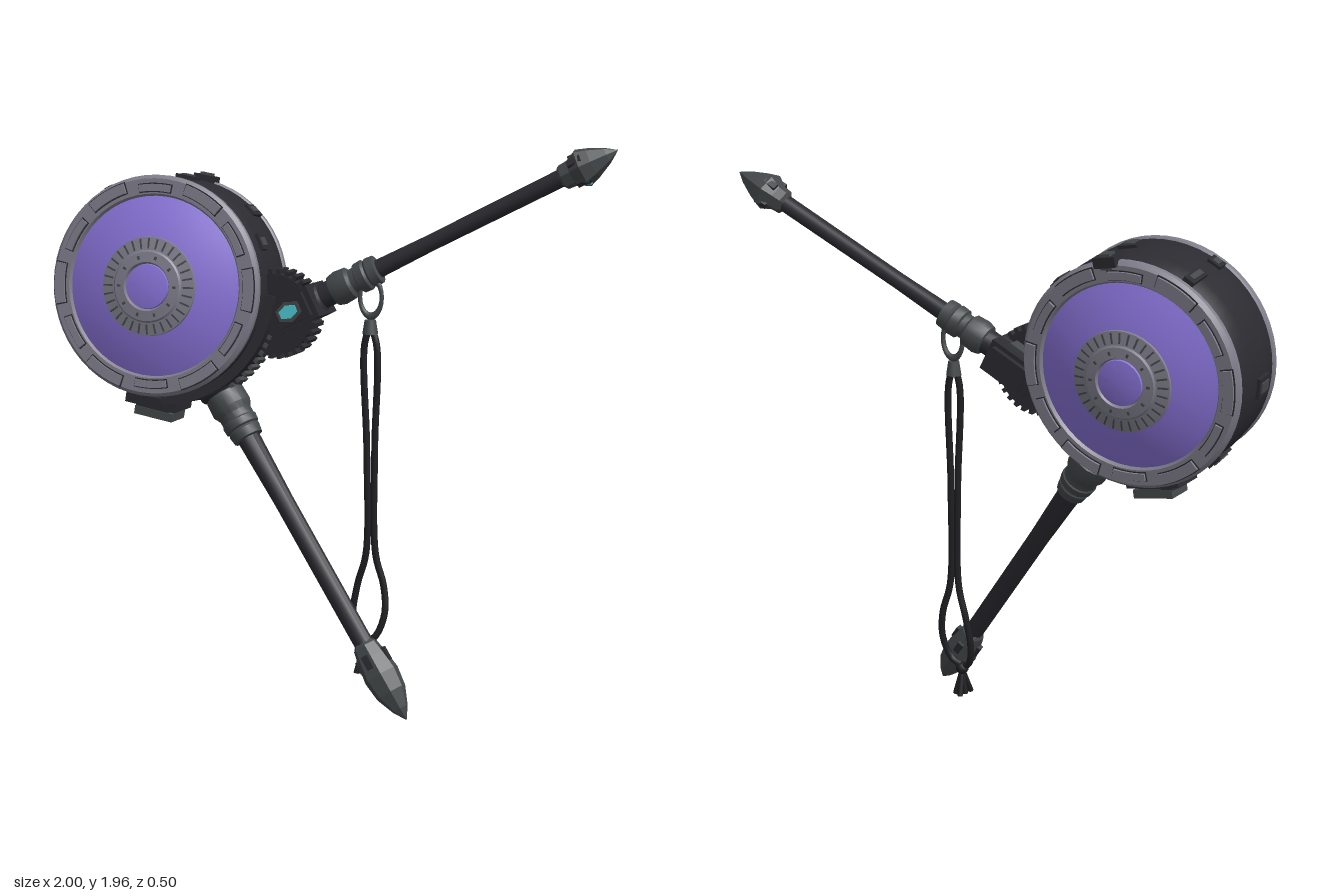
import * as THREE from 'three';
import { toCreasedNormals, mergeGeometries } from 'three/addons/utils/BufferGeometryUtils.js';

const mat = (name, color) => Object.assign(new THREE.MeshStandardMaterial({ color }), { name });
const V = (x, y, z) => new THREE.Vector3(x, y, z);
const Y = V(0, 1, 0), Z = V(0, 0, 1);

export function createModel() {
  const model = new THREE.Group();
  const dark = mat('dark metal', 0x2c2b31), black = mat('black cord', 0x1f1e22);
  const gun = mat('gunmetal', 0x45494b), grey = mat('rim grey', 0x7f7e8b);
  const purple = mat('purple skin', 0x8a74da), cyan = mat('cyan glow', 0x4fcfd8);

  const add = (parent, name, geo, material, x = 0, y = 0, z = 0) => {
    const m = new THREE.Mesh(geo, material);
    m.name = name;
    m.position.set(x, y, z);
    parent.add(m);
    return m;
  };
  const lathe = (pts, sides = 24, crease = 0.6) => {
    const g = new THREE.LatheGeometry(pts.map(p => new THREE.Vector2(...p)), sides);
    return toCreasedNormals(g, crease);
  };
  // Lathe whose axis is +z
  const latheZ = (pts, sides, crease) => lathe(pts, sides, crease).rotateX(Math.PI / 2);
  // Flat arc-shaped plate lying in the xy plane
  const arc = (r0, r1, a0, a1, depth) => {
    const s = new THREE.Shape();
    s.absarc(0, 0, r1, a0, a1, false);
    s.absarc(0, 0, r0, a1, a0, true);
    return new THREE.ExtrudeGeometry(s, { depth, bevelEnabled: false, curveSegments: 10 });
  };

  // ---- Drum, built along z and then tilted ----
  const drum = new THREE.Group();
  drum.name = 'drum';
  drum.position.set(-0.607, 1.456, -0.01);
  drum.quaternion.setFromUnitVectors(Z, V(0.05, 0.09, 1).normalize());
  model.add(drum);

  add(drum, 'barrel', latheZ([[0.375, -0.15], [0.387, -0.13], [0.392, -0.05],
    [0.392, 0.05], [0.387, 0.13], [0.375, 0.15]], 56), dark);

  const domeZ = r => 0.15 + 0.072 * (1 - (r / 0.33) ** 2);
  for (const side of [0, 1]) {
    const head = new THREE.Group();
    head.name = side ? 'backHead' : 'frontHead';
    head.rotation.y = side * Math.PI;
    drum.add(head);
    const dome = [];
    for (let i = 8; i >= 0; i--) dome.push([0.33 * i / 8, domeZ(0.33 * i / 8)]);
    add(head, 'drumSkin', latheZ(dome, 48), purple);
    add(head, 'rim', latheZ([[0.385, 0.128], [0.393, 0.135], [0.393, 0.152], [0.38, 0.166],
      [0.326, 0.166], [0.316, 0.15]], 56, 0.4), grey);
    // Raised rim plates with dark seams around them
    for (let i = 0; i < 12; i++) {
      const a = (i / 12) * Math.PI * 2, w = i % 2 ? 0.17 : 0.2;
      const [r0, r1] = i % 2 ? [0.335, 0.36] : [0.342, 0.378];
      add(head, 'rimSeam', arc(r0 - 0.004, r1 + 0.004, a - w - 0.012, a + w + 0.012, 0.004), dark, 0, 0, 0.164);
      add(head, 'rimPlate', arc(r0, r1, a - w, a + w, 0.012), grey, 0, 0, 0.164);
    }
    // Centre medallion
    add(head, 'medallion', latheZ([[0.176, domeZ(0.176) - 0.01], [0.174, domeZ(0.17) + 0.008],
      [0.128, domeZ(0.125) + 0.008], [0.122, domeZ(0.12) + 0.013], [0.086, domeZ(0.08) + 0.012],
      [0.08, domeZ(0.08)]], 40, 0.4), grey);
    add(head, 'medallionCentre', latheZ([[0.08, domeZ(0.08)], [0.078, 0.226], [0.05, 0.231], [0, 0.233]], 32), purple);
    for (let i = 0; i < 32; i++) {
      const a = (i / 32) * Math.PI * 2;
      const slot = new THREE.BoxGeometry(0.036, 0.006, 0.006).rotateY(0.13)
        .translate(0.151, 0, domeZ(0.151) + 0.008).rotateZ(a);
      add(head, 'medallionSlot', slot, gun);
    }
    for (let i = 0; i < 10; i++) {
      const a = (i / 10) * Math.PI * 2;
      add(head, 'medallionStud', new THREE.BoxGeometry(0.012, 0.008, 0.006).rotateZ(a), gun,
        0.104 * Math.cos(a), 0.104 * Math.sin(a), domeZ(0.1) + 0.013);
    }
  }

  // Clasps around the barrel: angle in degrees, z, width, depth, height
  const clasps = [[80, -0.15, 0.08, 0.06, 0.035], [80, 0.03, 0.07, 0.07, 0.02], [121, -0.07, 0.04, 0.11, 0.02],
    [121, 0.1, 0.05, 0.05, 0.015], [25, 0.04, 0.06, 0.06, 0.018], [45, -0.08, 0.05, 0.08, 0.015],
    [186, 0.03, 0.07, 0.08, 0.02], [225, -0.06, 0.06, 0.09, 0.018]];
  for (const [deg, z, w, d, h] of clasps) {
    const c = new THREE.Group();
    c.name = 'clasp';
    c.rotation.z = deg * Math.PI / 180;
    drum.add(c);
    add(c, 'claspBase', new THREE.BoxGeometry(h, w, d), dark, 0.392, 0, z);
    add(c, 'claspBar', new THREE.BoxGeometry(h * 1.5, w * 0.5, d * 0.7), gun, 0.392, 0, z);
  }

  // Curved bracket hugging the lower right of the barrel
  add(drum, 'bracketBand', arc(0.38, 0.425, -1.55, -0.05, 0.15), dark, 0, 0, -0.06);
  for (let i = 0; i < 9; i++) {
    const a = -0.4 - i * 0.075;
    add(drum, 'bracketRib', new THREE.BoxGeometry(0.03, 0.016, 0.08).rotateZ(a), gun,
      0.425 * Math.cos(a), 0.425 * Math.sin(a), 0.01);
  }

  // Foot block under the drum
  const foot = new THREE.Group();
  foot.name = 'foot';
  foot.position.set(-0.645, 1.03, 0.03);
  foot.rotation.z = -0.17;
  model.add(foot);
  add(foot, 'footNeck', new THREE.BoxGeometry(0.13, 0.08, 0.1), dark, 0, 0.02, 0);
  add(foot, 'footPlate', new THREE.BoxGeometry(0.2, 0.04, 0.14), dark, 0, 0.015, 0);
  add(foot, 'footPad', new THREE.BoxGeometry(0.15, 0.03, 0.11), gun, 0.01, -0.03, 0);

  // ---- Toothed wheel joining the arms ----
  const wheel = [new THREE.CylinderGeometry(0.143, 0.143, 0.09, 32).rotateX(Math.PI / 2)];
  for (let i = 0; i < 30; i++) {
    wheel.push(new THREE.BoxGeometry(0.03, 0.015, 0.08).translate(0.145, 0, 0).rotateZ(i * Math.PI / 15));
  }
  add(model, 'toothedWheel', mergeGeometries(wheel), dark, -0.19, 1.375, -0.015);

  const block = new THREE.Group();
  block.name = 'hubBlock';
  block.position.set(-0.125, 1.388, -0.045);
  block.rotation.z = 0.46;
  model.add(block);
  add(block, 'hubBody', new THREE.BoxGeometry(0.19, 0.12, 0.17), dark);
  add(block, 'hubCheek', new THREE.BoxGeometry(0.15, 0.09, 0.21), dark);
  add(block, 'hubTopPlate', new THREE.BoxGeometry(0.1, 0.15, 0.1), gun, -0.01, 0, -0.01);
  const gem = new THREE.CylinderGeometry(0.04, 0.04, 0.008, 6).rotateX(Math.PI / 2);
  add(block, 'gemFrame', gem, gun, 0.005, 0, 0.106).scale.set(1.3, 0.95, 1);
  add(block, 'gem', gem, cyan, 0.005, 0, 0.111).scale.set(0.95, 0.62, 1);

  // ---- Arms: group with +y running from a to b ----
  const arm = (name, a, b) => {
    const g = new THREE.Group();
    g.name = name;
    g.position.copy(a);
    g.quaternion.setFromUnitVectors(Y, b.clone().sub(a).normalize());
    model.add(g);
    return [g, a.distanceTo(b)];
  };
  const spear = (g, start, rows, rPlate) => {
    const geo = new THREE.LatheGeometry(rows.map(p => new THREE.Vector2(...p)), 7).toNonIndexed();
    geo.computeVertexNormals();
    add(g, 'spearTip', geo, gun, 0, start, 0);
    for (let i = 0; i < 4; i++) {
      const a = i * Math.PI / 2 + 0.5;
      add(g, 'tipInset', new THREE.BoxGeometry(0.012, 0.05, 0.024), dark,
        Math.cos(a) * rPlate, start + 0.075, Math.sin(a) * rPlate).rotation.y = -a;
    }
  };

  // Upper arm
  const [up, upLen] = arm('upperArm', V(-0.1, 1.403, -0.054), V(0.99, 1.963, -0.155));
  add(up, 'upperSocket', lathe([[0.06, 0], [0.06, 0.06], [0.045, 0.07], [0.045, 0.12]], 16), dark);
  add(up, 'upperCollar', lathe([[0.04, 0.11], [0.055, 0.115], [0.062, 0.14], [0.058, 0.185], [0.045, 0.195],
    [0.045, 0.215], [0.055, 0.22], [0.057, 0.25], [0.048, 0.258], [0.055, 0.266], [0.052, 0.295], [0.03, 0.3]], 16), gun);
  add(up, 'upperRod', lathe([[0.033, 0.28], [0.029, 0.5], [0.031, upLen - 0.18]], 14), dark);
  spear(up, upLen - 0.22, [[0.03, 0], [0.045, 0.012], [0.048, 0.045], [0.07, 0.085], [0.055, 0.125],
    [0.028, 0.18], [0, 0.22]], 0.055);
  const eye = add(model, 'tipGem', new THREE.SphereGeometry(0.014, 10, 8), cyan, 0.895, 1.853, -0.146);
  eye.scale.set(1, 0.8, 1.2);

  // Lower arm
  const [low, lowLen] = arm('lowerArm', V(-0.42, 1.115, 0.005), V(0.378, 0.004, 0.212));
  add(low, 'lowerSocket', lathe([[0.085, -0.02], [0.085, 0.04], [0.06, 0.06]], 12), dark);
  add(low, 'lowerCollar', lathe([[0.06, 0.045], [0.073, 0.055], [0.075, 0.11], [0.062, 0.135], [0.062, 0.16],
    [0.066, 0.165], [0.064, 0.19], [0.056, 0.195], [0.06, 0.203], [0.055, 0.235], [0.034, 0.24]], 16), gun);
  add(low, 'lowerRod', lathe([[0.043, 0.22], [0.036, 0.5], [0.035, lowLen - 0.26]], 14), dark);
  spear(low, lowLen - 0.31, [[0.034, 0], [0.046, 0.015], [0.055, 0.06], [0.066, 0.13], [0.057, 0.2],
    [0.03, 0.265], [0, 0.31]], 0.055);

  // ---- Hanging cord ----
  const ring = add(model, 'cordRing', new THREE.TorusGeometry(0.045, 0.009, 8, 24), gun, 0.142, 1.44, -0.06);
  ring.scale.set(0.9, 1.5, 1);
  const tube = (name, pts) => add(model, name,
    new THREE.TubeGeometry(new THREE.CatmullRomCurve3(pts.map(p => V(...p))), 50, 0.0125, 7), black);
  tube('cordLeftStrand', [[0.142, 1.345, -0.055], [0.122, 1.27, -0.05], [0.132, 0.9, -0.05], [0.13, 0.52, -0.052],
    [0.095, 0.4, -0.06], [0.08, 0.28, -0.05], [0.1, 0.205, -0.035], [0.13, 0.195, -0.03]]);
  tube('cordRightStrand', [[0.142, 1.345, -0.055], [0.168, 1.27, -0.05], [0.162, 0.9, -0.05], [0.166, 0.52, -0.052],
    [0.195, 0.4, -0.06], [0.202, 0.3, -0.05], [0.17, 0.215, -0.035], [0.13, 0.195, -0.03]]);
  add(model, 'cordKnot', new THREE.CylinderGeometry(0.02, 0.028, 0.05, 10), gun, 0.142, 1.335, -0.055);
  add(model, 'tasselKnot', new THREE.SphereGeometry(0.024, 10, 8), black, 0.13, 0.185, -0.03);
  for (let i = 0; i < 9; i++) {
    const a = i * 2.4, r = i ? 0.6 + 0.4 * (i % 2) : 0;
    const top = V(0.13, 0.185, -0.03), end = V(0.13 + Math.cos(a) * 0.022 * r, 0.085, -0.025 + Math.sin(a) * 0.042 * r);
    const strand = add(model, 'tasselStrand', new THREE.CylinderGeometry(0.008, 0.01, top.distanceTo(end), 6), black);
    strand.position.copy(top).lerp(end, 0.5);
    strand.quaternion.setFromUnitVectors(Y, top.sub(end).normalize());
  }

  return model;
}
